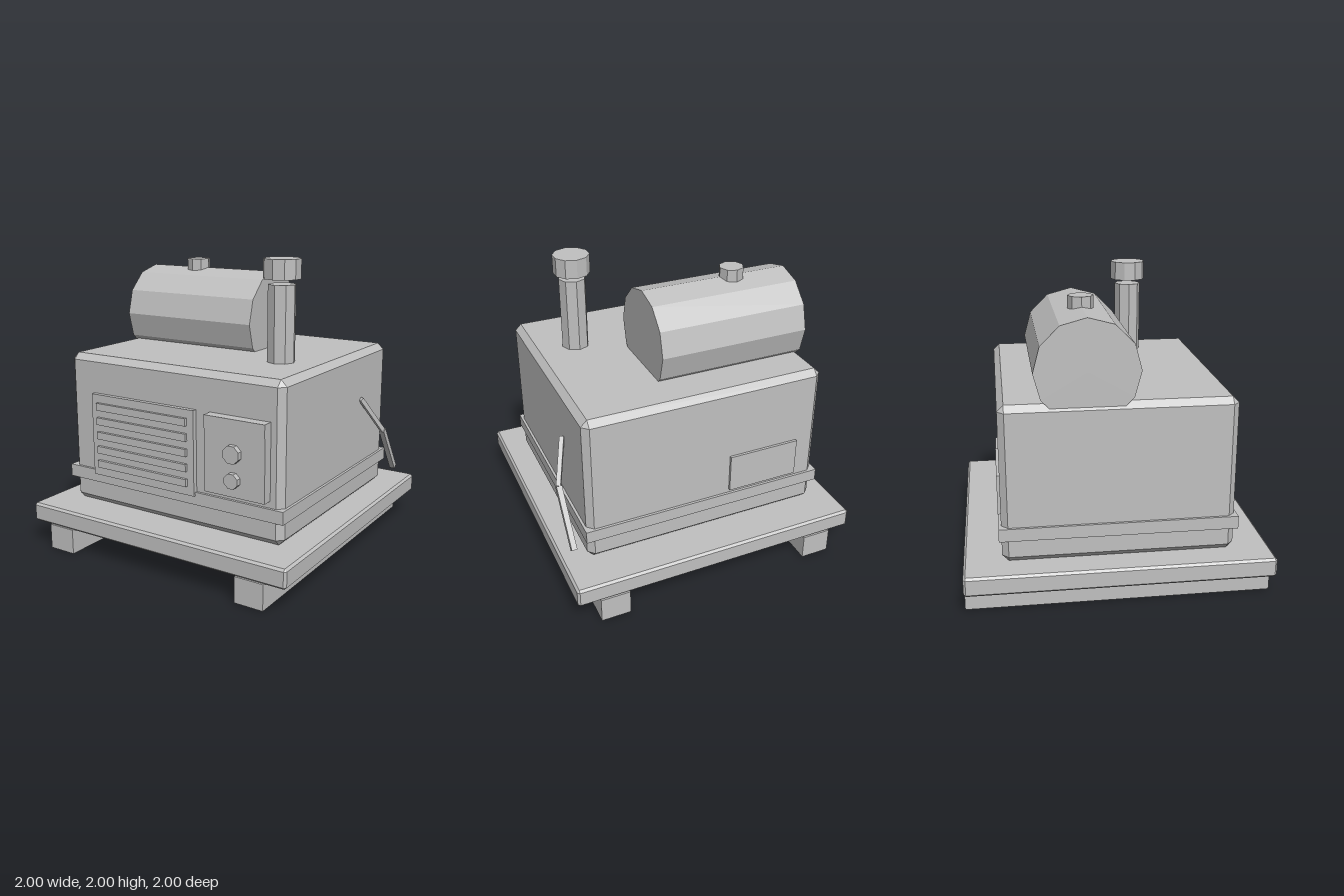
import * as THREE from 'three';
import { ConvexGeometry } from 'three/addons/geometries/ConvexGeometry.js';

export function createModel() {
  const model = new THREE.Group();
  model.name = 'generator';
  const grey = new THREE.MeshStandardMaterial({ color: 0xc0c0c0, flatShading: true });
  grey.name = 'grey';

  const add = (name, geometry, x = 0, y = 0, z = 0) => {
    const mesh = new THREE.Mesh(geometry, grey);
    mesh.name = name;
    mesh.position.set(x, y, z);
    model.add(mesh);
    return mesh;
  };

  // Box given by its limits on each axis
  const box = (name, [x0, x1], [y0, y1], [z0, z1]) =>
    add(name, new THREE.BoxGeometry(x1 - x0, y1 - y0, z1 - z0),
      (x0 + x1) / 2, (y0 + y1) / 2, (z0 + z1) / 2);

  // Box with every edge chamfered by b
  const chamferBox = (name, w, y0, y1, d, b) => {
    const half = [w / 2, (y1 - y0) / 2, d / 2];
    const points = [];
    for (const sx of [-1, 1]) for (const sy of [-1, 1]) for (const sz of [-1, 1])
      for (let face = 0; face < 3; face++) {
        const p = [sx, sy, sz].map((s, i) => s * (half[i] - (i === face ? 0 : b)));
        points.push(new THREE.Vector3(...p));
      }
    return add(name, new ConvexGeometry(points), 0, (y0 + y1) / 2, 0);
  };

  // Upright faceted cylinder
  const post = (name, r, sides, x, y0, y1, z) =>
    add(name, new THREE.CylinderGeometry(r, r, y1 - y0, sides), x, (y0 + y1) / 2, z);

  // Square bar between two points
  const bar = (name, a, b, t) => {
    const dir = b.clone().sub(a);
    const mid = a.clone().add(b).multiplyScalar(0.5);
    const mesh = add(name, new THREE.BoxGeometry(t, t, dir.length()), mid.x, mid.y, mid.z);
    mesh.lookAt(b);
    return mesh;
  };

  // Skids and base plate
  for (const s of [-1, 1]) {
    box(s < 0 ? 'rightSkid' : 'leftSkid', [s * 0.75 - 0.1, s * 0.75 + 0.1], [0, 0.172], [-1, 1]);
  }
  chamferBox('basePlate', 2, 0.17, 0.3, 2, 0.015);

  // Housing with a trim band
  chamferBox('housing', 1.665, 0.3, 1.34, 1.505, 0.042);
  box('trimBand', [-0.85, 0.85], [0.46, 0.545], [-0.77, 0.77]);

  // Front grille
  box('grillePanel', [-0.62, 0.21], [0.52, 1.085], [0.73, 0.785]);
  for (let i = 0; i < 5; i++) {
    const y = 0.605 + i * 0.1;
    box('grilleSlat', [-0.57, 0.16], [y - 0.025, y + 0.025], [0.76, 0.805]);
  }

  // Control box with two knobs
  box('controlBox', [0.315, 0.75], [0.59, 1.0], [0.73, 0.82]);
  box('controlHood', [0.315, 0.75], [1.0, 1.085], [0.73, 0.825]);
  for (const [r, y] of [[0.06, 0.87], [0.051, 0.702]]) {
    const knob = add('knob', new THREE.CylinderGeometry(r, r, 0.05, 8), 0.53, y, 0.83);
    knob.rotation.set(Math.PI / 2, Math.PI / 8, 0);
  }

  // Rear access plate
  box('rearPlate', [-0.67, -0.17], [0.57, 0.835], [-0.77, -0.74]);

  // Fuel tank and filler cap
  const tank = add('fuelTank', new THREE.CylinderGeometry(0.332, 0.332, 1.035, 12), -0.3, 1.533, -0.2);
  tank.rotation.z = Math.PI / 2;
  post('fillerCap', 0.083, 8, -0.42, 1.845, 1.928, -0.2);

  // Exhaust pipe and its raised cap
  post('exhaustPipe', 0.093, 8, 0.53, 1.33, 1.838, 0.25);
  post('exhaustCap', 0.123, 10, 0.53, 1.872, 2, 0.25);

  // Bent crank handle
  const top = new THREE.Vector3(0.84, 1.01, -0.33);
  const bend = new THREE.Vector3(0.935, 0.76, -0.508);
  const end = new THREE.Vector3(0.932, 0.42, -0.75);
  bar('handleArm', top, bend, 0.03);
  bar('handleGrip', bend, end, 0.037);

  return model;
}
